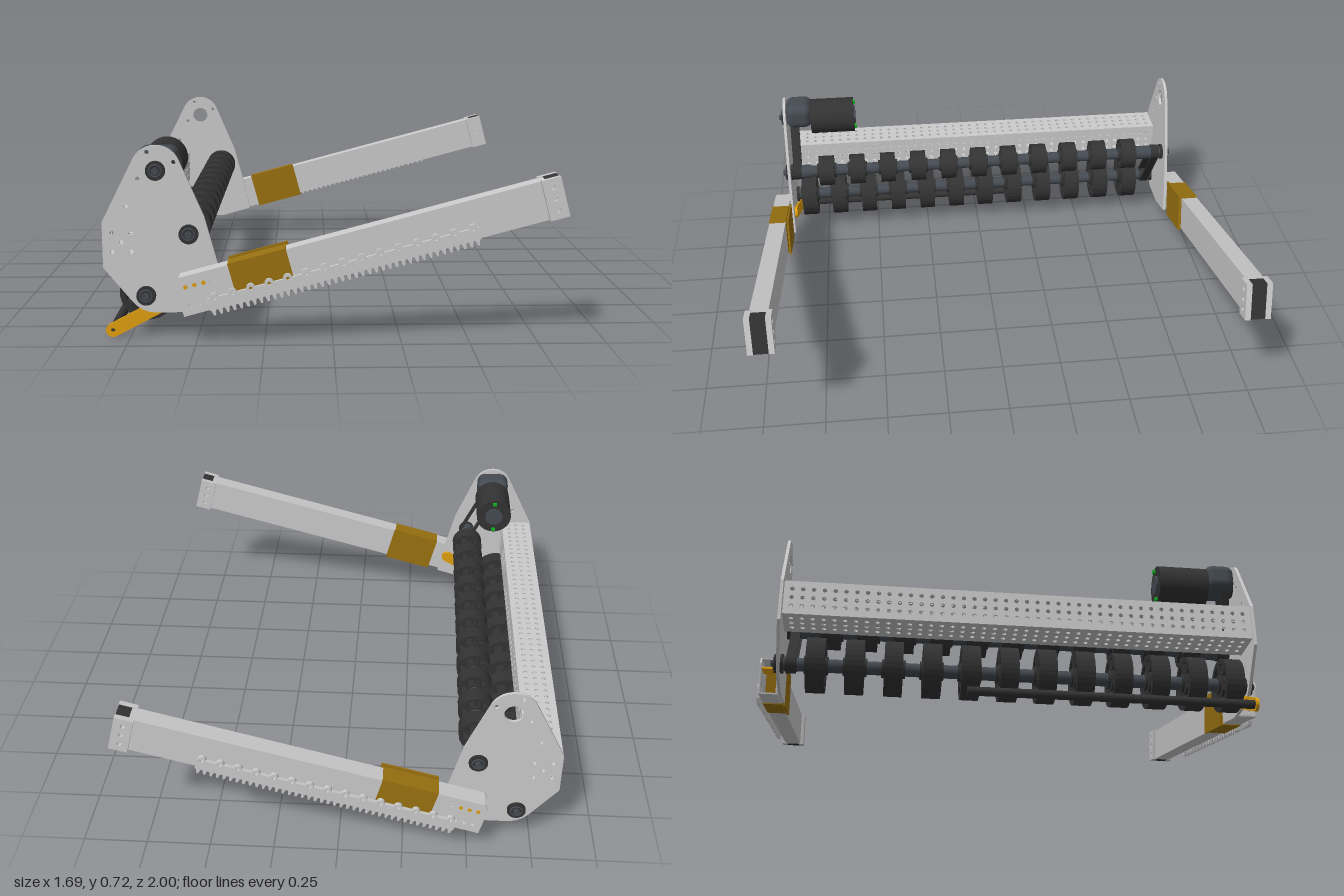
import * as THREE from 'three';
import { RoundedBoxGeometry } from 'three/addons/geometries/RoundedBoxGeometry.js';

const mat = (color) => new THREE.MeshStandardMaterial({ color });
const GREY = mat(0xcccccc), DARK = mat(0x333333), STEEL = mat(0x454b52);
const ORANGE = mat(0xe0a010), OCHRE = mat(0x9a7210), GREEN = mat(0x10b020);

function add(parent, name, geometry, material, x = 0, y = 0, z = 0) {
  const mesh = new THREE.Mesh(geometry, material);
  mesh.name = name;
  mesh.position.set(x, y, z);
  parent.add(mesh);
  return mesh;
}

const box = (w, h, d) => new THREE.BoxGeometry(w, h, d);
const rod = (r, len, n = 20) => new THREE.CylinderGeometry(r, r, len, n).rotateX(Math.PI / 2);
const polygon = (pts) => new THREE.Shape(pts.map(([x, y]) => new THREE.Vector2(x, y)));

function circle(x, y, r) {
  const p = new THREE.Path();
  p.absarc(x, y, r, 0, Math.PI * 2, true);
  return p;
}

// Extrusion centred on z = 0
function slab(shape, depth, curveSegments = 6) {
  return new THREE.ExtrudeGeometry(shape, { depth, bevelEnabled: false, curveSegments })
    .translate(0, 0, -depth / 2);
}

// Stadium outline around two points
function link(a, b, r) {
  const t = Math.atan2(b[1] - a[1], b[0] - a[0]);
  const s = new THREE.Shape();
  s.absarc(a[0], a[1], r, t + Math.PI / 2, t + Math.PI * 1.5, false);
  s.absarc(b[0], b[1], r, t - Math.PI / 2, t + Math.PI / 2, false);
  return s;
}

// Axis positions in the side plane
const MOTOR = [-0.64, 0.63], UPPER = [-0.525, 0.395], LOWER = [-0.685, 0.165];

function plateShape(openTop) {
  const s = new THREE.Shape();
  s.moveTo(-0.84, 0.27);
  s.lineTo(-0.735, 0.14);
  s.quadraticCurveTo(-0.70, 0.10, -0.65, 0.10);
  s.lineTo(-0.53, 0.10);
  s.lineTo(-0.39, 0.14);
  s.lineTo(-0.42, 0.28);
  s.lineTo(-0.468, 0.46);
  s.lineTo(-0.555, 0.665);
  s.absarc(MOTOR[0], MOTOR[1], 0.092, 0.4, Math.PI - 0.5, false);
  s.lineTo(-0.84, 0.44);
  s.closePath();
  const holes = [[-0.75, 0.5], [-0.805, 0.4], [-0.735, 0.4], [-0.77, 0.365], [-0.805, 0.33],
    [-0.735, 0.33], [-0.67, 0.697], [-0.575, 0.66], [-0.705, 0.6]];
  holes.forEach(([x, y]) => s.holes.push(circle(x, y, 0.008)));
  if (openTop) s.holes.push(circle(...MOTOR, 0.036));
  return s;
}

// Spoked roller wheel
function wheelGeometry(R, spokes) {
  const s = new THREE.Shape();
  s.absarc(0, 0, R, 0, Math.PI * 2, false);
  s.holes.push(circle(0, 0, 0.02));
  for (let i = 0; i < spokes; i++) {
    const a = (i / spokes) * Math.PI * 2, w = Math.PI / spokes * 0.72;
    const h = new THREE.Path();
    h.absarc(0, 0, R * 0.8, a - w, a + w, false);
    h.absarc(0, 0, R * 0.5, a + w, a - w, true);
    h.closePath();
    s.holes.push(h);
  }
  return slab(s, 0.07, 16);
}

function rollerRow(root, name, [x, y], R, spokes, count, z0) {
  const g = new THREE.Group();
  g.name = name;
  g.position.set(x, y, 0);
  root.add(g);
  add(g, 'shaft', rod(0.026, 1.78), STEEL);
  const geo = wheelGeometry(R, spokes);
  for (let i = 0; i < count; i++) {
    const z = z0 - i * 0.1445;
    add(g, 'wheel', geo, DARK, 0, 0, z);
    add(g, 'hub', rod(0.035, 0.09, 16), DARK, 0, 0, z);
  }
}

// Square perforated beam made from four identical strips
function perforatedBeam(root) {
  const g = new THREE.Group();
  g.name = 'perforatedBeam';
  g.position.set(-0.77, 0.365, 0);
  root.add(g);
  const s = polygon([[-0.07, -0.89], [0.07, -0.89], [0.07, 0.89], [-0.07, 0.89]]);
  for (let i = 0; i < 44; i++) {
    for (const x of [-0.036, 0, 0.036]) s.holes.push(circle(x, (i - 21.5) * 0.04, 0.009));
  }
  const geo = slab(s, 0.006, 3).rotateX(Math.PI / 2).translate(0, 0.067, 0);
  for (let i = 0; i < 4; i++) add(g, 'beamWall', geo, GREY).rotation.z = i * Math.PI / 2;
}

// Toothed rack with a scalloped upper edge
function rackGeometry() {
  const s = new THREE.Shape();
  s.moveTo(0.10, 0.045);
  s.lineTo(0.10, 0.0);
  for (let i = 0; i < 40; i++) {
    const u = 0.10 + i * 0.0252;
    s.lineTo(u + 0.004, 0.0);
    s.lineTo(u + 0.009, -0.02);
    s.lineTo(u + 0.016, -0.02);
    s.lineTo(u + 0.021, 0.0);
  }
  s.lineTo(1.11, 0.0);
  s.lineTo(1.11, 0.045);
  for (let i = 14; i >= 0; i--) {
    const u = 0.125 + i * 0.069;
    s.absarc(u, 0.045, 0.016, 0, Math.PI, false);
    s.holes.push(circle(u, 0.043, 0.007));
  }
  s.closePath();
  return slab(s, 0.014, 5);
}

function sideArm(root, side) {
  const g = new THREE.Group();
  g.name = 'sideArm';
  g.position.set(-0.54, 0.105, 0);
  g.rotation.z = Math.PI / 12;
  root.add(g);
  const L = 1.43, H = 0.145, zc = side * 0.948;
  // Hollow rectangular tube
  const wall = polygon([[0, 0], [L, 0], [L, H], [0.02, H], [0, H - 0.025]]);
  [[0.035, 0.035], [0.07, 0.035], [0.14, 0.105]].forEach(([u, v]) => wall.holes.push(circle(u, v, 0.008)));
  const wallGeo = slab(wall, 0.006);
  for (const dz of [-0.033, 0.033]) add(g, 'tubeSide', wallGeo, GREY, 0, 0, zc + dz);
  add(g, 'tubeBottom', box(L, 0.006, 0.07), GREY, L / 2, 0.003, zc);
  add(g, 'tubeTop', box(L - 0.02, 0.006, 0.07), GREY, L / 2 + 0.01, H - 0.003, zc);
  for (let i = 0; i < 3; i++) {
    add(g, 'pin', rod(0.008, 0.076, 10), ORANGE, 0.035 + i * 0.034, 0.105, zc);
  }
  // Coloured sleeve
  add(g, 'sleeve', box(0.218, H + 0.008, 0.075), OCHRE, 0.313, H / 2, zc);
  add(g, 'sleeveBackPlate', box(0.225, H + 0.02, 0.008), OCHRE, 0.318, H / 2 + 0.002, side * 0.902);
  add(g, 'rack', rackGeometry(), GREY, 0, 0, side * 0.993);
  // End bracket with dark plug
  const cheek = polygon([[1.365, -0.003], [1.437, -0.003], [1.437, H + 0.003], [1.365, H + 0.003]]);
  [0.03, 0.073, 0.116].forEach((v) => cheek.holes.push(circle(1.4, v, 0.009)));
  const cheekGeo = slab(cheek, 0.022);
  for (const dz of [-0.04, 0.04]) add(g, 'endCheek', cheekGeo, GREY, 0, 0, zc + dz);
  add(g, 'endPlug', box(0.05, H + 0.004, 0.06), DARK, 1.41, H / 2, zc);
}

// Belt loop around two pulleys
function belt(root, a, b, r, z) {
  const s = link(a, b, r);
  s.holes.push(link(a, b, r - 0.008));
  add(root, 'belt', slab(s, 0.036, 14), DARK, 0, 0, z);
  for (const p of [a, b]) add(root, 'pulley', rod(r - 0.007, 0.044), DARK, p[0], p[1], z);
}

export function createModel() {
  const root = new THREE.Group();
  root.name = 'rollerIntake';

  for (const side of [1, -1]) {
    add(root, 'sidePlate', slab(plateShape(side < 0), 0.012, 14), GREY, 0, 0, side * 0.9);
    sideArm(root, side);
    // Bearings and bolt heads on the plate
    const axes = side > 0 ? [MOTOR, UPPER, LOWER] : [UPPER, LOWER];
    for (const [x, y] of axes) {
      add(root, 'bearing', rod(0.036, 0.034, 24), DARK, x, y, side * 0.9);
      add(root, 'bearingRing', new THREE.TorusGeometry(0.022, 0.004, 6, 20), STEEL, x, y, side * 0.918);
      add(root, 'boltHead', rod(0.014, 0.05, 6), STEEL, x, y, side * 0.905);
    }
  }

  perforatedBeam(root);
  rollerRow(root, 'upperRollers', UPPER, 0.07, 6, 11, 0.726);
  rollerRow(root, 'lowerRollers', LOWER, 0.105, 6, 12, 0.828);
  for (const z of [0.84, -0.8]) add(root, 'shaftCollar', rod(0.032, 0.08), STEEL, ...UPPER, z);

  belt(root, MOTOR, UPPER, 0.035, 0.862);
  belt(root, UPPER, LOWER, 0.035, -0.855);

  // Motor and gearbox
  add(root, 'gearbox', new RoundedBoxGeometry(0.145, 0.11, 0.12, 4, 0.035), STEEL, -0.636, 0.657, 0.835);
  add(root, 'motorBody', rod(0.08, 0.2, 32), DARK, -0.634, 0.632, 0.682);
  add(root, 'motorCap', rod(0.04, 0.01, 24), STEEL, -0.634, 0.632, 0.58);
  for (const dy of [-0.065, 0.065]) add(root, 'motorTerminal', box(0.018, 0.014, 0.014), GREEN, -0.634, 0.632 + dy, 0.58);

  // Lever and long bar
  const tip = [-0.815, 0.027];
  const lever = link(tip, [-0.435, 0.228], 0.026);
  lever.holes.push(circle(...tip, 0.008));
  add(root, 'lever', slab(lever, 0.012, 10), ORANGE, 0, 0, 0.884);
  add(root, 'leverBar', rod(0.017, 1.08, 16), DARK, tip[0], tip[1], 0.338);
  return root;
}
